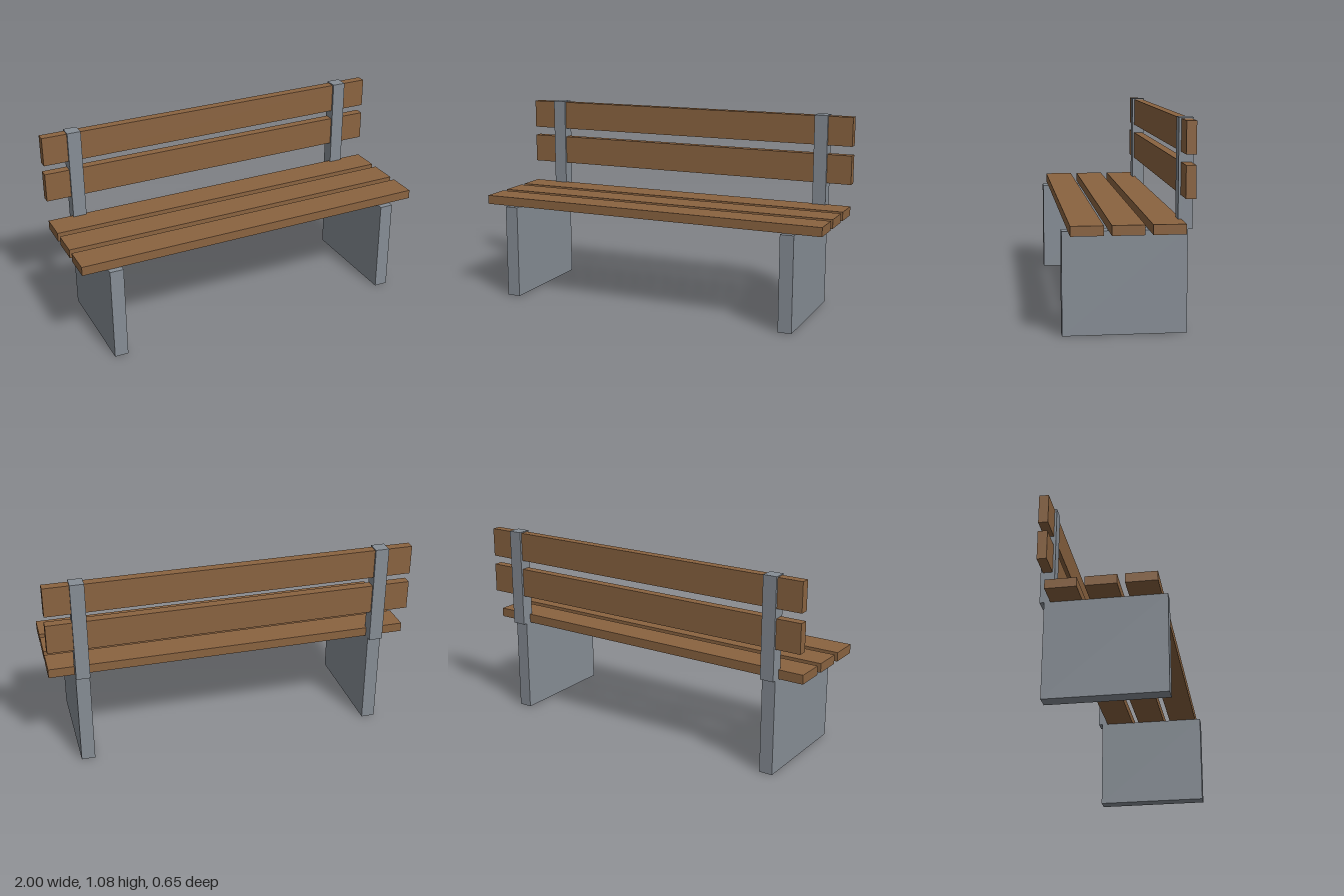
import * as THREE from 'three';

export function createModel() {
  const bench = new THREE.Group();
  bench.name = 'bench';
  const wood = new THREE.MeshStandardMaterial({ color: 0x8a6340 });
  wood.name = 'brown wood';
  const concrete = new THREE.MeshStandardMaterial({ color: 0x868d95 });
  concrete.name = 'grey concrete';

  const box = (name, material, size, position) => {
    const mesh = new THREE.Mesh(new THREE.BoxGeometry(...size), material);
    mesh.name = name;
    mesh.position.set(...position);
    bench.add(mesh);
  };

  // Slab legs with the backrest posts standing at their rear edge
  for (const [side, s] of [['left', 1], ['right', -1]]) {
    box(`${side}Leg`, concrete, [0.075, 0.525, 0.624], [s * 0.824, 0.2625, 0.0125]);
    box(`${side}BackPost`, concrete, [0.075, 0.55, 0.073], [s * 0.824, 0.8, -0.286]);
  }

  // Three seat slats, front to back
  for (let i = 0; i < 3; i++) {
    box(`seatSlat${i + 1}`, wood, [2, 0.05, 0.161], [0, 0.55, 0.2125 - i * 0.1995]);
  }

  // Two backrest slats running through the posts
  for (let i = 0; i < 2; i++) {
    box(`backSlat${i + 1}`, wood, [2, 0.161, 0.05], [0, 0.777 + i * 0.212, -0.286]);
  }

  return bench;
}
